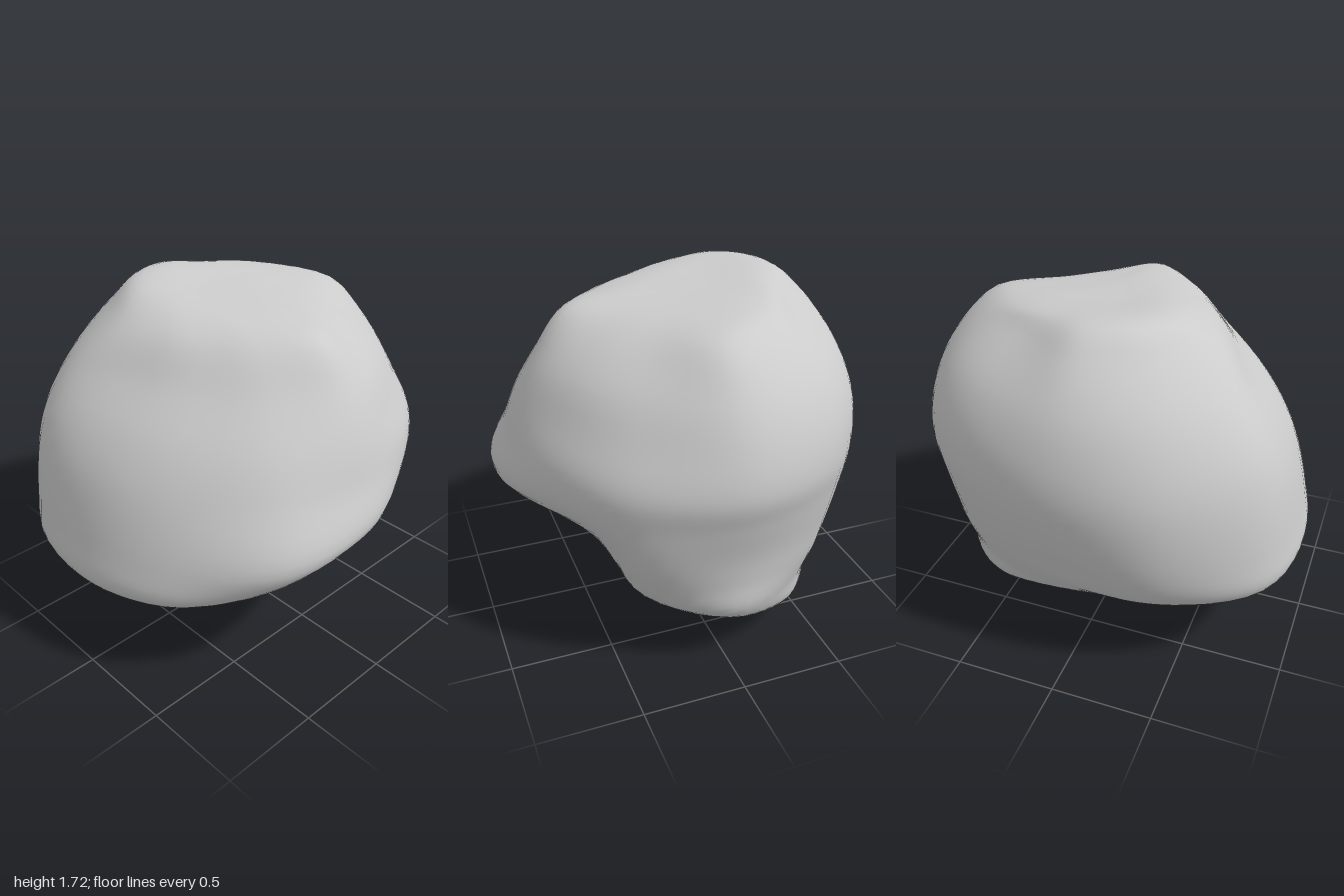
import * as THREE from 'three';
import { mergeVertices } from 'three/addons/utils/BufferGeometryUtils.js';

const AROUND = 72, UP = 66;

// Closed contour at height y: radii every 30 degrees, from +x towards +z.
// cx, cz move its centre; riseX, riseZ tilt its plane.
function contour(y, radii, { cx = 0, cz = 0, riseX = 0, riseZ = 0 } = {}) {
  const points = radii.map((r, i) => {
    const a = (i / radii.length) * Math.PI * 2;
    const x = r * Math.cos(a), z = r * Math.sin(a);
    return new THREE.Vector3(cx + x, y + riseX * x + riseZ * z, cz + z);
  });
  return new THREE.CatmullRomCurve3(points, true);
}

// Smooth skin through the contours, closed by a point at each end.
function skin(bottom, contours, top) {
  const positions = [], index = [];
  for (let j = 0; j < AROUND; j++) {
    const rib = new THREE.CatmullRomCurve3(
      [bottom, ...contours.map((c) => c.getPoint(j / AROUND)), top]);
    for (let i = 0; i <= UP; i++) positions.push(...rib.getPoint(i / UP).toArray());
  }
  const at = (i, j) => (j % AROUND) * (UP + 1) + i;
  for (let j = 0; j < AROUND; j++) {
    for (let i = 0; i < UP; i++) {
      const a = at(i, j), b = at(i, j + 1), c = at(i + 1, j), d = at(i + 1, j + 1);
      if (i > 0) index.push(a, c, b);
      if (i < UP - 1) index.push(b, c, d);
    }
  }
  const geometry = new THREE.BufferGeometry();
  geometry.setAttribute('position', new THREE.Float32BufferAttribute(positions, 3));
  geometry.setIndex(index);
  const merged = mergeVertices(geometry, 1e-5);
  merged.computeVertexNormals();
  return merged;
}

export function createModel() {
  const contours = [
    // Rounded foot
    contour(0.03, new Array(12).fill(0.17), { cx: 0.28, cz: -0.13 }),
    contour(0.19, [0.47, 0.43, 0.37, 0.33, 0.33, 0.36, 0.42, 0.43, 0.41, 0.39, 0.44, 0.48],
      { cx: 0.27, cz: -0.13 }),
    // Hollow under the front lip
    contour(0.34, [0.87, 0.71, 0.43, 0.34, 0.32, 0.38, 0.52, 0.64, 0.66, 0.66, 0.72, 0.81]),
    contour(0.46, [0.88, 0.81, 0.53, 0.43, 0.53, 0.8, 0.91, 0.95, 0.84, 0.75, 0.78, 0.86],
      { riseX: 0.04 }),
    contour(0.58, [0.9, 0.87, 0.64, 0.57, 0.82, 0.93, 0.98, 1.03, 0.91, 0.8, 0.83, 0.89],
      { riseX: 0.07 }),
    // Overhanging lip and broad middle
    contour(0.76, [0.95, 0.91, 0.83, 0.89, 0.96, 0.93, 0.96, 1.03, 0.95, 0.86, 0.88, 0.93],
      { riseX: 0.08 }),
    contour(1.0, [0.99, 0.92, 0.85, 0.84, 0.85, 0.83, 0.88, 0.99, 0.95, 0.9, 0.91, 0.96]),
    contour(1.2, [0.95, 0.83, 0.77, 0.78, 0.75, 0.72, 0.77, 0.92, 0.9, 0.88, 0.89, 0.93]),
    // Three-cornered crown
    contour(1.4, [0.85, 0.7, 0.66, 0.68, 0.6, 0.55, 0.6, 0.78, 0.8, 0.81, 0.79, 0.83]),
    contour(1.59, [0.67, 0.45, 0.43, 0.54, 0.43, 0.39, 0.45, 0.58, 0.64, 0.67, 0.58, 0.64]),
    contour(1.675, [0.4, 0.25, 0.26, 0.48, 0.3, 0.26, 0.29, 0.36, 0.38, 0.37, 0.32, 0.37],
      { cz: -0.15, riseX: -0.05, riseZ: -0.07 }),
  ];
  const geometry = skin(
    new THREE.Vector3(0.28, 0, -0.13), contours, new THREE.Vector3(-0.02, 1.68, -0.17));

  const boulder = new THREE.Mesh(geometry, new THREE.MeshStandardMaterial({ color: 0xcccccc }));
  boulder.name = 'boulder';

  const model = new THREE.Group();
  model.name = 'rock';
  model.add(boulder);
  return model;
}
